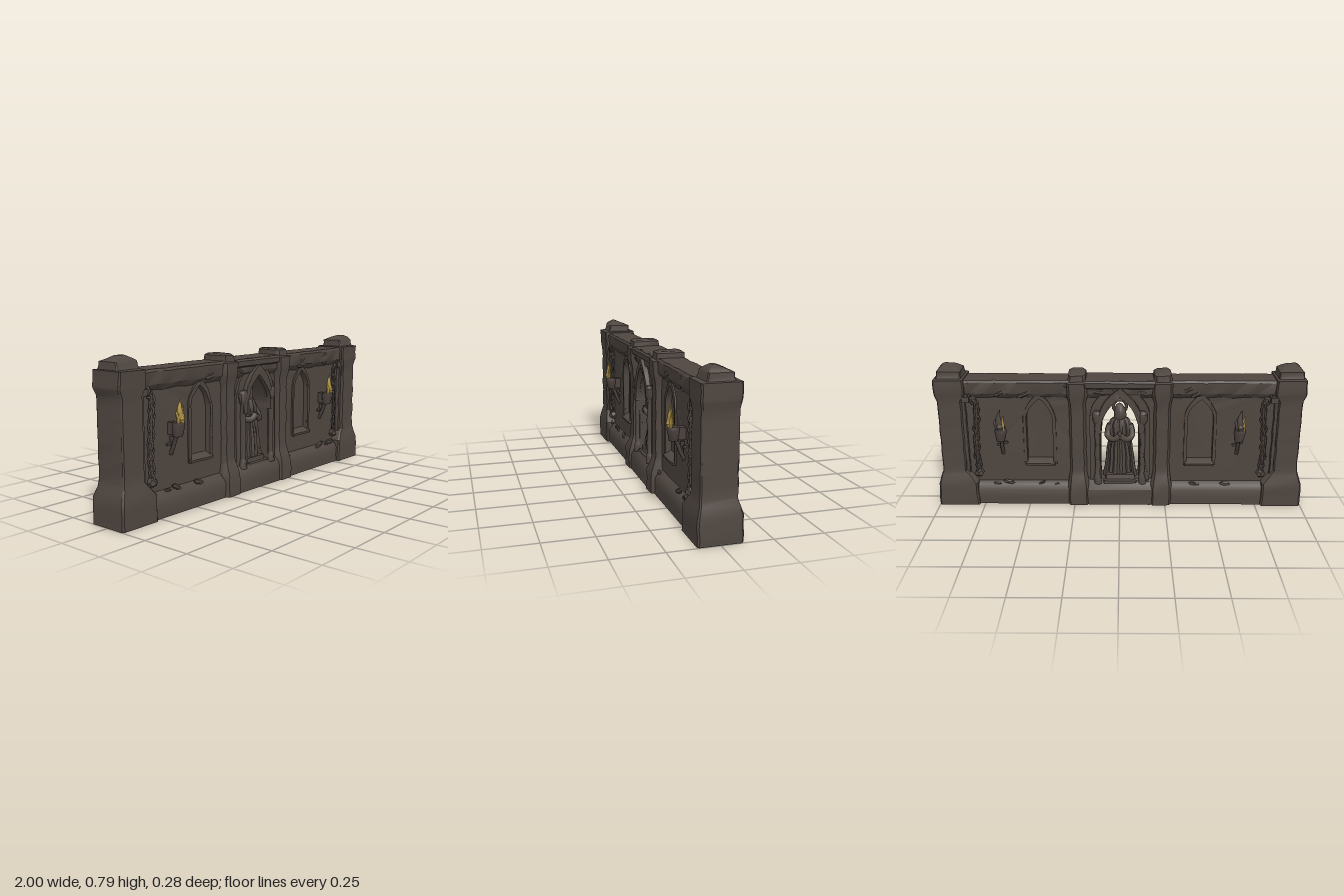
import * as THREE from 'three';
import { toCreasedNormals, mergeGeometries } from 'three/addons/utils/BufferGeometryUtils.js';

const stone = new THREE.MeshStandardMaterial({ color: 0x4f4640, side: THREE.DoubleSide });
stone.name = 'weathered stone';
const iron = new THREE.MeshStandardMaterial({ color: 0x4a413c });
iron.name = 'dark iron';
const gold = new THREE.MeshStandardMaterial({ color: 0xac8f42 });
gold.name = 'golden flame';

let seed = 7;
const rand = () => (seed = (seed * 16807) % 2147483647) / 2147483647;
const curve = pts => new THREE.CatmullRomCurve3(pts.map(p => new THREE.Vector3(...p)));
const outline = pts => new THREE.Shape(pts.map(p => new THREE.Vector2(...p)));

// Worn surface: a smooth offset that depends only on position, so seams stay closed
function wear(geo, amp, crease = 0.6) {
  const p = geo.attributes.position;
  for (let i = 0; i < p.count; i++) {
    const x = p.getX(i), y = p.getY(i), z = p.getZ(i);
    p.setXYZ(i,
      x + amp * Math.sin(47 * y + 31 * z + 9 * x),
      y < 0.005 ? y : y + amp * 0.6 * Math.sin(53 * x + 37 * z),
      z + amp * Math.sin(41 * x + 59 * y));
  }
  return toCreasedNormals(geo, crease);
}

function add(parent, name, geo, mat = stone, x = 0, y = 0, z = 0) {
  const m = new THREE.Mesh(geo, mat);
  m.name = name;
  m.position.set(x, y, z);
  parent.add(m);
  return m;
}

// Unit outlines for lofted parts
const chamfered = c => [[1, -c], [1, c], [c, 1], [-c, 1], [-1, c], [-1, -c], [-c, -1], [c, -1]];
const block = chamfered(.92), octagon = chamfered(.72);
const round = Array.from({ length: 12 }, (_, i) => [Math.cos(i * Math.PI / 6), Math.sin(i * Math.PI / 6)]);

// Stack of cross-sections, hollow underneath where it meets the ground:
// each level is [y, halfX, halfZ, centreX, centreZ]
function loft(levels, ring = block, amp = 0.002) {
  const rows = [];
  levels.forEach((l, k) => {
    const a = [0, 0, 0, 0, 0].map((_, j) => l[j] || 0);
    if (k) {
      const b = rows[rows.length - 1], n = Math.ceil((a[0] - b[0]) / 0.06);
      for (let i = 1; i < n; i++) rows.push(b.map((v, j) => v + (a[j] - v) * i / n));
    }
    rows.push(a);
  });
  const pos = [], idx = [], n = ring.length;
  for (const [y, hx, hz, cx, cz] of rows) for (const [u, v] of ring) pos.push(cx + u * hx, y, cz + v * hz);
  for (let r = 0; r < rows.length - 1; r++) for (let i = 0; i < n; i++) {
    const a = r * n + i, b = r * n + (i + 1) % n;
    idx.push(a, a + n, b, b, a + n, b + n);
  }
  const last = (rows.length - 1) * n, c = pos.length / 3;
  [rows[0], rows[rows.length - 1]].forEach(r => pos.push(r[3], r[0], r[4]));
  for (let i = 0; i < n; i++) {
    const j = (i + 1) % n;
    idx.push(c + 1, last + j, last + i);
    if (rows[0][0] > 0) idx.push(c, i, j);
  }
  const g = new THREE.BufferGeometry();
  g.setAttribute('position', new THREE.Float32BufferAttribute(pos, 3));
  g.setIndex(idx);
  return wear(g, amp);
}

// Pointed arch outline
function arch(x, w, y0, spring, top, Type = THREE.Shape) {
  const s = new Type(), c = spring + (top - spring) * 0.6;
  s.moveTo(x - w, y0);
  s.lineTo(x + w, y0);
  s.lineTo(x + w, spring);
  s.quadraticCurveTo(x + w * 0.95, c, x, top);
  s.quadraticCurveTo(x - w * 0.95, c, x - w, spring);
  s.closePath();
  return s;
}

// Open arch band, with nothing across its foot
function archBand(w, wIn, y0, spring, top, topIn) {
  const s = new THREE.Shape(), c = spring + (top - spring) * 0.6, cIn = spring + (topIn - spring) * 0.6;
  s.moveTo(w, y0);
  s.lineTo(w, spring);
  s.quadraticCurveTo(w * 0.95, c, 0, top);
  s.quadraticCurveTo(-w * 0.95, c, -w, spring);
  s.lineTo(-w, y0);
  s.lineTo(-wIn, y0);
  s.lineTo(-wIn, spring);
  s.quadraticCurveTo(-wIn * 0.95, cIn, 0, topIn);
  s.quadraticCurveTo(wIn * 0.95, cIn, wIn, spring);
  s.lineTo(wIn, y0);
  s.closePath();
  return s;
}

function slab(shape, half, amp = 0.002) {
  const g = new THREE.ExtrudeGeometry(shape, { depth: half * 2, bevelEnabled: false, curveSegments: 8 });
  return wear(g.translate(0, 0, -half), amp);
}

// Moulding: a symmetric half-profile [z, y] swept along x
function rail(half, length, amp = 0.002) {
  const s = outline([...half, ...half.slice().reverse().map(([z, y]) => [-z, y])]);
  const g = new THREE.ExtrudeGeometry(s, { depth: length, steps: Math.ceil(length / 0.07), bevelEnabled: false });
  return wear(g.translate(0, 0, -length / 2).rotateY(Math.PI / 2), amp);
}

function buildTorch(front) {
  const g = new THREE.Group();
  g.name = 'torch';
  add(g, 'torchArm', new THREE.TubeGeometry(curve([[0, .29, -.055], [0, .33, -.035], [0, .37, -.02], [0, .40, 0]]), 8, .01, 6), iron);
  add(g, 'torchBracket', new THREE.BoxGeometry(.034, .06, .06), iron, 0, .42, -.035);
  add(g, 'torchCrossbar', new THREE.BoxGeometry(.06, .012, .014), iron, 0, .35, -.05).rotation.z = .3;
  add(g, 'torchSpike', new THREE.ConeGeometry(.012, .1, 6).rotateX(Math.PI), iron, 0, .33, -.045);
  add(g, 'torchCup', loft([[.385, .022, .022], [.4, .026, .026], [.44, .033, .031], [.455, .03, .028]], round), iron);
  // Flame tongues: the rear torches have nearly burnt out, with one tongue glowing
  [[0, .45, .12, .02], [-.014, .45, .075, .013], [.016, .45, .085, .013], [.004, .45, .06, .018]].forEach(([x, y, h, r], i) => {
    const z = i === 3 ? .02 : .014;
    add(g, 'flameTongue', loft([[y, r * .6, r * .5, x, z], [y + h * .3, r, r * .75, x, z + .002],
      [y + h * .65, r * .55, r * .45, x * 1.3 - .004, z], [y + h * .96, .001, .001, x * 1.3 + .004, z - .004]], round),
      front || i === 2 ? gold : iron);
  });
  return g;
}

function buildChain() {
  const g = new THREE.Group();
  g.name = 'hangingChain';
  const path = curve([[.825, .61, 0], [.795, .615, 0], [.772, .58, 0], [.775, .45, 0], [.782, .32, 0], [.775, .2, 0]]);
  add(g, 'chainCore', new THREE.TubeGeometry(path, 24, .008, 6));
  for (let i = 0; i <= 17; i++) {
    const p = path.getPointAt(i / 17), link = new THREE.TorusGeometry(.014, .006, 5, 8).scale(.95, 1.3, 1);
    add(g, 'chainLink', link, stone, p.x + (i % 3 - 1) * .003, p.y, 0).rotation.y = i % 2 ? 1.1 : .25;
  }
  add(g, 'chainWeight', new THREE.DodecahedronGeometry(.026), stone, .776, .18, 0);
  add(g, 'chainHook', new THREE.BoxGeometry(.04, .03, .04), stone, .82, .61, -.01);
  return g;
}

function buildStatue() {
  const g = new THREE.Group();
  g.name = 'statue';
  add(g, 'statuePlinth', loft([[.1, .098, .08], [.135, .094, .076], [.14, .082, .064], [.165, .078, .06]]));
  const folds = Array.from({ length: 24 }, (_, i) => {
    const a = i * Math.PI / 12, r = i % 2 ? .88 : 1.04;
    return [Math.cos(a) * r, Math.sin(a) * r];
  });
  add(g, 'robe', loft([[.16, .066, .056], [.22, .062, .052], [.3, .056, .046], [.345, .048, .04],
    [.4, .06, .044], [.445, .062, .044], [.475, .05, .036], [.492, .022, .022]], folds));
  add(g, 'hood', loft([[.475, .032, .03], [.5, .034, .036], [.53, .031, .033], [.555, .018, .02], [.565, .004, .004]], round));
  for (const s of [-1, 1]) {
    for (const f of [-1, 1]) {
      const arm = curve([[s * .057, .44, 0], [s * .066, .385, f * .027], [s * .032, .375, f * .056], [0, .4, f * .06]]);
      add(g, 'sleeve', new THREE.TubeGeometry(arm, 10, .017, 7));
    }
    add(g, 'cloakHem', loft([[.15, .014, .045, s * .08], [.25, .012, .036, s * .066], [.38, .008, .026, s * .056]], round));
  }
  add(g, 'claspedHands', new THREE.SphereGeometry(.021, 8, 6).scale(.9, 1, 3.1), stone, 0, .4, 0);
  // Halo joined to the arch by its rays
  add(g, 'halo', new THREE.TorusGeometry(.036, .009, 6, 18), stone, 0, .548, 0);
  for (let i = 0; i < 7; i++) {
    const a = Math.PI * (i + .5) / 7;
    add(g, 'haloRay', new THREE.ConeGeometry(.008, .04, 4), stone, Math.cos(a) * .05, .548 + Math.sin(a) * .05, 0).rotation.z = a - Math.PI / 2;
  }
  return g;
}

export function createModel() {
  const model = new THREE.Group();
  model.name = 'ruinedWall';

  // Main panel with a through niche and two window recesses
  const panel = outline([[-.9, .11], [.9, .11], [.9, .69], [-.9, .69]]);
  panel.holes.push(arch(0, .104, .13, .42, .618, THREE.Path));
  for (const s of [-1, 1]) panel.holes.push(arch(s * .435, .07, .24, .49, .61, THREE.Path));
  add(model, 'wallPanel', slab(panel, .05));

  // Top and bottom mouldings
  add(model, 'topRail', rail([[.048, .61], [.072, .64], [.075, .7], [.066, .712]], 1.75));
  add(model, 'baseRail', loft([[0, .875, .09], [.085, .875, .088], [.11, .875, .074], [.13, .875, .046]]));
  add(model, 'nicheTopRail', rail([[.07, .665], [.086, .675], [.088, .702], [.078, .712]], .37));
  add(model, 'nicheBase', loft([[0, .185, .1], [.09, .185, .098], [.12, .185, .08], [.14, .185, .06]]));

  // Niche surround
  const surround = arch(0, .165, .11, .5, .705);
  surround.holes.push(arch(0, .104, .13, .42, .618, THREE.Path));
  add(model, 'nicheSurround', slab(surround, .064));
  add(model, 'nicheArch', slab(archBand(.13, .1, .42, .45, .675, .62), .088));
  model.add(buildStatue());

  for (const s of [-1, 1]) {
    // End pier: flared base, shaft, cap and broken crown
    add(model, 'endPier', loft([[0, .11, .108, s * .89], [.13, .106, .108, s * .89], [.178, .08, .093, s * .9],
      [.2, .064, .089, s * .907], [.6, .064, .088, s * .907], [.635, .08, .094, s * .905], [.642, .081, .095, s * .905],
      [.718, .079, .095, s * .905], [.721, .068, .068, s * .906], [.735, .065, .062, s * .906], [.757, .064, .06, s * .906],
      [.772, .045, .036, s * .91, .012], [.785, .025, .008, s * .91, .016]]));
    // Inner pier
    add(model, 'innerPier', loft([[0, .062, .108, s * .228], [.11, .06, .106, s * .228], [.165, .05, .085, s * .228],
      [.2, .045, .078, s * .228], [.58, .045, .078, s * .228], [.63, .057, .092, s * .228], [.7, .057, .094, s * .228],
      [.706, .048, .076, s * .228], [.738, .046, .072, s * .228], [.746, .036, .06, s * .228]], octagon));
    // Recessed window with frame and sill
    add(model, 'windowRecess', slab(arch(s * .435, .085, .23, .49, .625), .026, .001));
    const frame = arch(s * .435, .088, .225, .49, .638);
    frame.holes.push(arch(s * .435, .07, .24, .49, .605, THREE.Path));
    add(model, 'windowFrame', slab(frame, .058));
    add(model, 'windowSill', rail([[.068, .222], [.07, .235], [.03, .256]], .16), stone, s * .435);

    for (const f of [-1, 1]) {
      // Niche colonnette
      add(model, 'colonnette', loft([[.12, .02, .02], [.16, .02, .02], [.175, .014, .014], [.47, .014, .014],
        [.485, .024, .021], [.53, .026, .022], [.545, .014, .014]], round), stone, s * .122, 0, f * .072);
      // Half pilaster beside the end pier
      add(model, 'pilaster', loft([[.12, .016, .02], [.62, .014, .018]]), stone, s * .84, 0, f * .053);
      const torch = buildTorch(f > 0);
      torch.position.set(s * .64, 0, f * .105);
      if (f < 0) torch.rotation.y = Math.PI;
      model.add(torch);
      const chain = buildChain();
      chain.scale.x = s;
      chain.position.z = f * .064;
      model.add(chain);
    }
  }

  // Chipped stones along the mouldings
  const chips = [];
  for (let i = 0; i < 56; i++) {
    const f = i % 2 ? 1 : -1, top = i % 4 < 2, r = .008 + rand() * .012;
    const c = new THREE.DodecahedronGeometry(r).scale(1.6 + rand(), .8, .5).rotateZ(rand() - .5);
    chips.push(c.translate((rand() * 2 - 1) * .8, top ? .63 + rand() * .06 : .1 + rand() * .03, f * (top ? .069 : .068)));
  }
  add(model, 'chippedStones', mergeGeometries(chips));
  return model;
}
